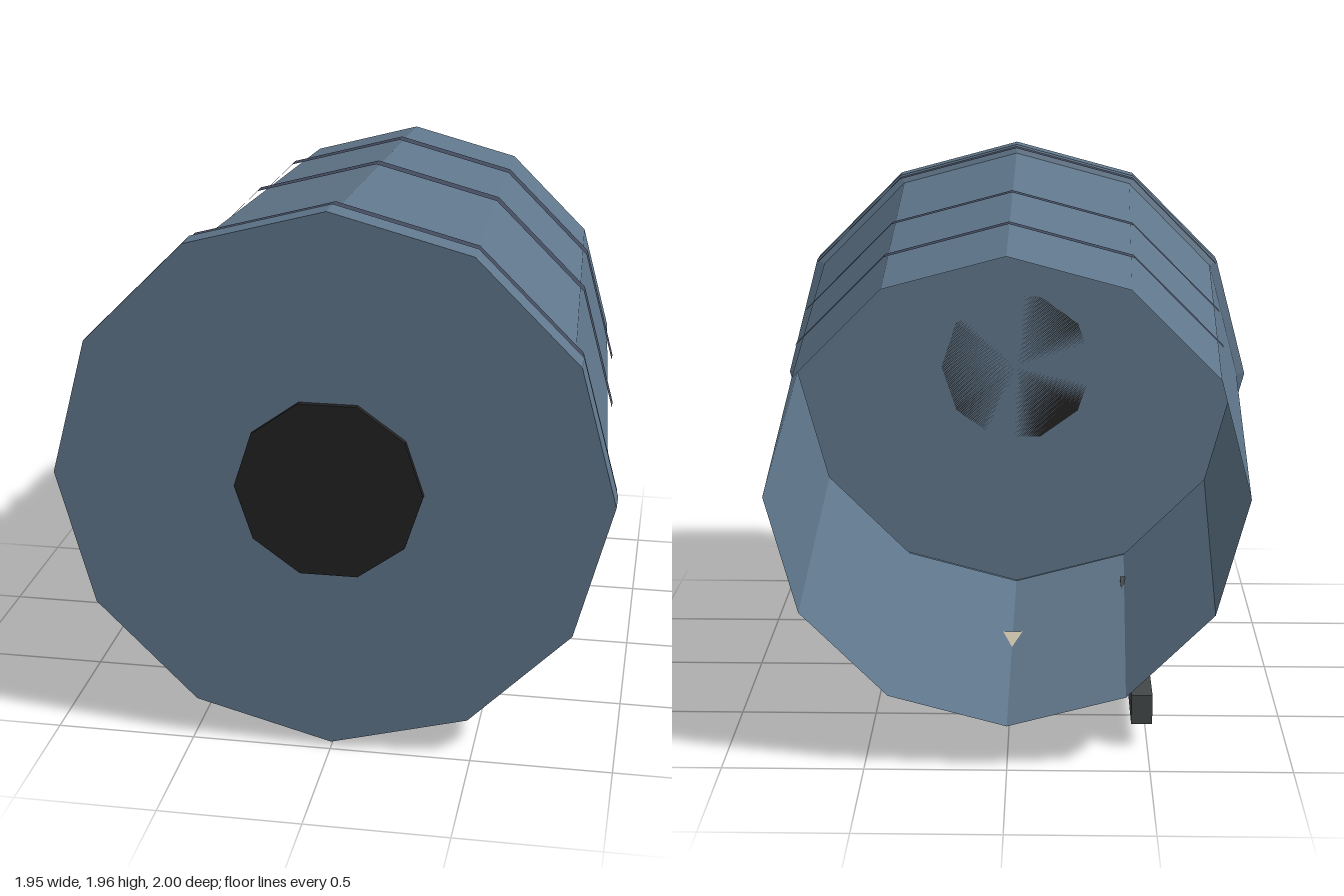
import * as THREE from 'three';

const CENTRE_Y = 0.99;

export function createModel() {
  const model = new THREE.Group();

  const mat = (name, color, side = THREE.FrontSide) => {
    const m = new THREE.MeshStandardMaterial({ color, side });
    m.name = name;
    return m;
  };
  const blueSteel = mat('blue steel', 0x60778c, THREE.DoubleSide);
  const darkSteel = mat('dark steel', 0x434a5e);
  const black = mat('black', 0x222222);
  const tan = mat('tan', 0xc2baa2, THREE.DoubleSide);
  const charcoal = mat('charcoal', 0x434848);

  const add = (name, geometry, material, x = 0, y = 0, z = 0) => {
    const mesh = new THREE.Mesh(geometry, material);
    mesh.name = name;
    mesh.position.set(x, y, z);
    model.add(mesh);
    return mesh;
  };

  // Faceted twelve-sided surface around the z axis from [radius, z] points, back to front
  const ring = (points) => {
    const lathe = new THREE.LatheGeometry(points.map(([r, z]) => new THREE.Vector2(r, z)), 12);
    const flat = lathe.rotateX(Math.PI / 2).toNonIndexed();
    flat.computeVertexNormals();
    return flat;
  };

  // Tapered shell, open at the back, with a thicker rim at the front
  add('shell', ring([[0.825, -1], [0.938, 0.87]]), blueSteel, 0, CENTRE_Y);
  add('frontRim', ring([[0.938, 0.87], [0.973, 0.88], [0.973, 0.98]]), blueSteel, 0, CENTRE_Y);
  add('frontPlate', new THREE.CircleGeometry(0.973, 12), blueSteel, 0, CENTRE_Y, 0.98);

  // Thin hoops standing slightly off the shell
  const hoops = [[0.87, -0.603, -0.543], [0.902, -0.046, 0.013], [0.965, 0.815, 0.88]];
  hoops.forEach(([r, z0, z1], i) => {
    add(`hoop${i + 1}`, ring([[r, z0], [r, z1]]), darkSteel, 0, CENTRE_Y);
  });

  // Ten-sided disc in the middle of the front plate
  const disc = new THREE.CylinderGeometry(0.327, 0.327, 0.02, 10, 1, false, Math.PI / 2).toNonIndexed();
  disc.computeVertexNormals();
  add('frontDisc', disc.rotateX(Math.PI / 2), black, 0, CENTRE_Y, 0.99);

  // Small foot under the middle, open at its back
  const foot = new THREE.BoxGeometry(0.386, 0.11, 0.19);
  foot.setIndex(Array.from(foot.index.array).slice(0, 30));
  foot.clearGroups();
  add('foot', foot, tan, 0, 0.055, -0.015);

  // Long rail along one side of the underside
  add('sideRail', new THREE.BoxGeometry(0.075, 0.11, 1.3), charcoal, -0.478, 0.147, -0.15);

  return model;
}
